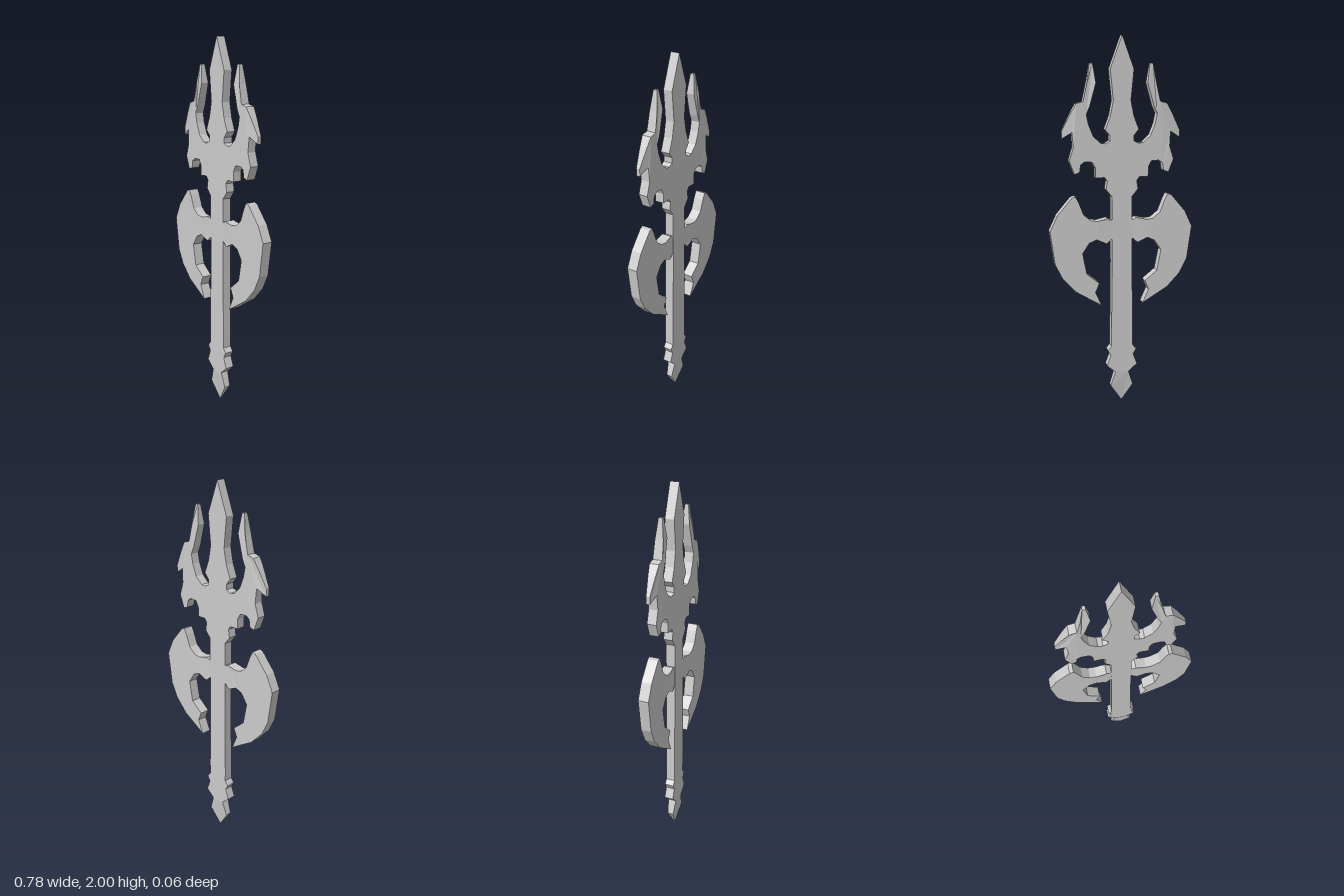
import * as THREE from 'three';

const { clamp, lerp } = THREE.MathUtils;
const MID_Z = -0.0015;

// Slab cut from an outline; halfDepth(x, y) gives the local half thickness
function slab(name, points, halfDepth) {
  const shape = new THREE.Shape(points.map(([x, y]) => new THREE.Vector2(x, y)));
  const geo = new THREE.ExtrudeGeometry(shape, { depth: 1, bevelEnabled: false, steps: 1 });
  const p = geo.attributes.position;
  for (let i = 0; i < p.count; i++) {
    const side = p.getZ(i) > 0.5 ? 1 : -1;
    p.setZ(i, MID_Z + side * halfDepth(Math.abs(p.getX(i)), p.getY(i)));
  }
  geo.computeVertexNormals();
  const mesh = new THREE.Mesh(geo, new THREE.MeshStandardMaterial({ color: 0xcccccc, flatShading: true }));
  mesh.name = name;
  return mesh;
}

const mirrorX = (pts) => pts.map(([x, y]) => [-x, y]).reverse();
const ramp = (v, a, b, from, to) => lerp(from, to, clamp((v - a) / (b - a), 0, 1));

export function createModel() {
  const group = new THREE.Group();
  group.name = 'tridentAxe';

  // Trident head: central spike, side prongs, hooked horns and lower barbs
  const head = [
    [0.063, 1.83], [0.047, 1.67], [0.063, 1.59], [0.09, 1.52], [0.065, 1.49], [0.065, 1.46],
    [0.09, 1.447], [0.115, 1.45], [0.155, 1.487], [0.18, 1.55], [0.19, 1.6], [0.172, 1.64], [0.138, 1.76],
    [0.153, 1.86], [0.169, 1.86], [0.185, 1.76], [0.206, 1.665], [0.243, 1.655], [0.275, 1.6],
    [0.318, 1.515], [0.318, 1.475], [0.265, 1.508], [0.26, 1.43], [0.282, 1.36], [0.255, 1.29],
    [0.228, 1.3], [0.222, 1.34], [0.2, 1.355], [0.16, 1.352], [0.143, 1.32], [0.143, 1.268],
    [0.095, 1.27], [0.08, 1.25], [0.087, 1.205], [0.055, 1.165],
  ];
  const headDepth = (x, y) => {
    if (x > 0.1 && y > 1.75) return ramp(y, 1.76, 1.86, 0.022, 0.01); // prong tips
    if (y > 1.46) return ramp(x, 0.25, 0.318, 0.025, 0.01); // horn tips
    return 0.025;
  };
  group.add(slab('tridentHead', [[0, 2], ...mirrorX(head).reverse(), ...head.slice().reverse()], headDepth));

  // Shaft with collar rings and a pointed pommel
  const shaft = [
    [0.055, 1.165], [0.055, 0.8], [0.06, 0.4], [0.06, 0.33], [0.08, 0.305],
    [0.063, 0.275], [0.085, 0.217], [0.037, 0.175],
  ];
  group.add(slab('shaft', [...shaft, ...mirrorX(shaft)], () => 0.025));
  const pommel = [[-0.037, 0.175], [-0.063, 0.095], [0, 0], [0.063, 0.095], [0.037, 0.175]];
  group.add(slab('pommel', pommel, (x, y) =>
    y < 0.1 ? ramp(y, 0, 0.095, 0.003, 0.017) : ramp(y, 0.095, 0.175, 0.017, 0.023)));

  // Pair of crescent axe blades
  const blade = [
    [0.04, 1.04], [0.06, 1.04], [0.08, 1.05], [0.1, 1.045], [0.135, 1.037], [0.17, 1.042], [0.21, 1.075],
    [0.235, 1.14], [0.252, 1.173], [0.272, 1.167], [0.35, 1.075], [0.39, 0.99], [0.365, 0.81],
    [0.325, 0.73], [0.255, 0.655], [0.115, 0.57], [0.148, 0.645], [0.127, 0.695], [0.195, 0.75],
    [0.217, 0.865], [0.18, 0.92], [0.14, 0.937], [0.085, 0.912], [0.06, 0.935], [0.04, 0.935],
  ];
  const bladeDepth = (x) => ramp(x, 0.06, 0.1, 0.024, 0.0285);
  group.add(slab('leftBlade', blade, bladeDepth));
  group.add(slab('rightBlade', mirrorX(blade), bladeDepth));

  return group;
}
